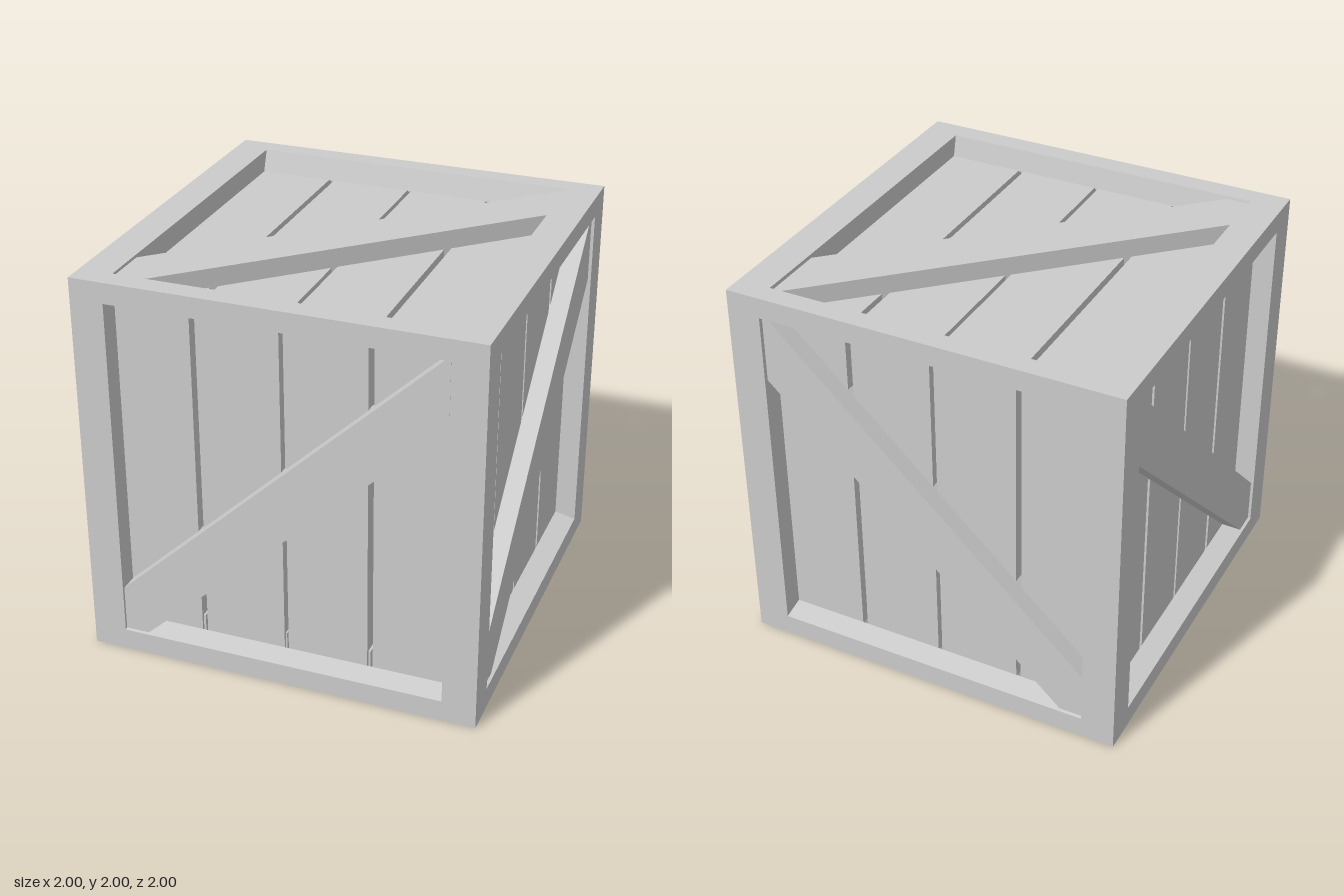
import * as THREE from 'three';

const material = new THREE.MeshStandardMaterial({ color: 0xcccccc, flatShading: true });

function add(group, geometry, name) {
  const mesh = new THREE.Mesh(geometry, material);
  mesh.name = name;
  group.add(mesh);
  return mesh;
}

function prism(points, depth) {
  const shape = new THREE.Shape(points.map(([x, y]) => new THREE.Vector2(x, y)));
  return new THREE.ExtrudeGeometry(shape, { depth, bevelEnabled: false });
}

// One side of the crate, facing +z; flip (1 or -1) mirrors it left to right
function makePanel(name, flip) {
  const panel = new THREE.Group();
  panel.name = name;

  // Upright frame posts, mitred towards the neighbouring side
  for (const s of [-1, 1]) {
    const section = [[s, 1], [s * 0.83, 1], [s * 0.83, 0.89], [s * 0.89, 0.89]];
    const post = prism(section.map(([x, z]) => [x, -z]), 2);
    post.rotateX(-Math.PI / 2).translate(0, -1, 0);
    add(panel, post, s * flip > 0 ? 'framePostA' : 'framePostB');
  }

  // Cross rails with a sloping inner face
  const rails = {
    topRail: [[1, 1], [1, 0.895], [0.89, 0.855], [0.89, 0.89]],
    bottomRail: [[1, -1], [1, -0.89], [0.89, -0.865], [0.89, -0.89]],
  };
  for (const [railName, section] of Object.entries(rails)) {
    const rail = prism(section.map(([z, y]) => [-z, y]), 1.68);
    rail.rotateY(Math.PI / 2).translate(-0.84, 0, 0);
    add(panel, rail, railName);
  }

  // Four planks with narrow gaps
  const planks = [[-0.87, -0.455], [-0.427, -0.014], [0.007, 0.416], [0.444, 0.87]];
  for (const [a, b] of planks) {
    const plank = add(panel, new THREE.BoxGeometry(b - a, 1.75, 0.1), 'plank');
    plank.position.set(flip * (a + b) / 2, 0, 0.84);
  }

  // Diagonal brace, cut to the frame opening
  const outline = [[-0.83, -0.888], [-0.71, -0.888], [0.825, 0.55],
    [0.825, 0.885], [0.8, 0.89], [-0.83, -0.65]];
  const brace = prism(outline.map(([x, y]) => [flip * x, y]), 0.145);
  brace.translate(0, 0, 0.84);
  add(panel, brace, 'diagonalBrace');
  return panel;
}

export function createModel() {
  const crate = new THREE.Group();
  crate.name = 'crate';
  const q = Math.PI / 2;
  // Opposite sides mirror each other
  const sides = [
    ['frontPanel', 0, 0, 1], ['backPanel', 0, 2 * q, -1],
    ['leftPanel', 0, q, 1], ['rightPanel', 0, -q, -1],
    ['topPanel', -q, 0, 1], ['bottomPanel', q, 0, -1],
  ];
  for (const [name, rx, ry, flip] of sides) {
    const panel = makePanel(name, flip);
    panel.rotation.set(rx, ry, 0);
    panel.position.y = 1;
    crate.add(panel);
  }
  return crate;
}
